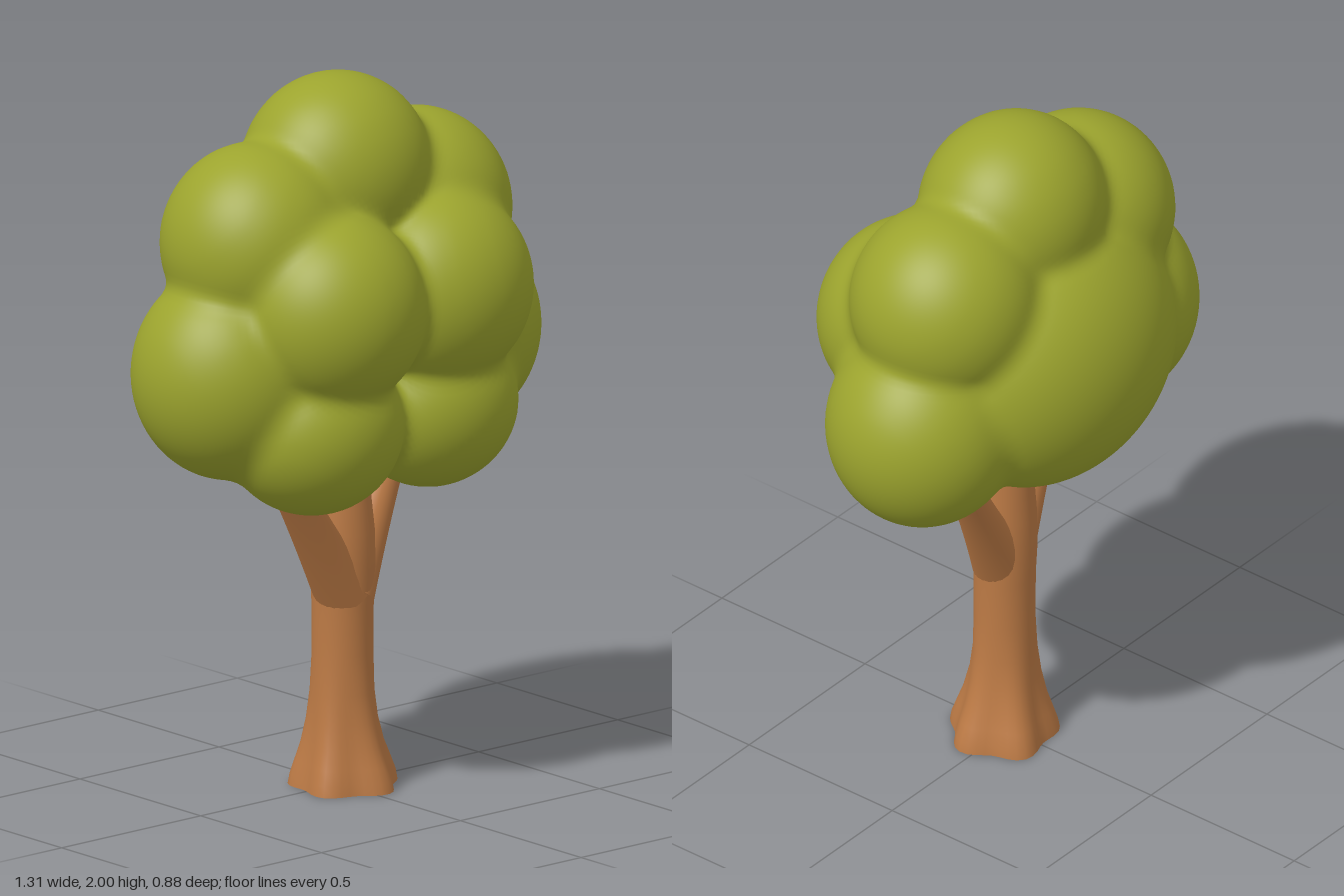
import * as THREE from 'three';
import { mergeVertices } from 'three/addons/utils/BufferGeometryUtils.js';

// Foliage puffs: centre x, y, z, then radii x, y, z
const PUFFS = [
  [0, 1.73, -0.015, 0.27, 0.27, 0.25],      // crown top
  [0, 1.32, -0.13, 0.42, 0.385, 0.31],      // large back puff
  [-0.21, 1.07, 0.13, 0.255, 0.24, 0.24],   // low front pair
  [0.21, 1.07, 0.13, 0.25, 0.235, 0.23],
  [-0.19, 1.405, 0.18, 0.265, 0.275, 0.26], // middle front pair
  [0.2, 1.405, 0.175, 0.27, 0.275, 0.25],
];
for (const s of [-1, 1]) {
  PUFFS.push([s * 0.285, 1.575, -0.015, 0.265, 0.275, 0.262]); // shoulders
  PUFFS.push([s * 0.38, 1.225, -0.015, 0.275, 0.295, 0.265]);  // wide sides
}

// Approximate distance to one ellipsoid
function puffDistance(p, [cx, cy, cz, rx, ry, rz]) {
  const x = p.x - cx, y = p.y - cy, z = p.z - cz;
  const k0 = Math.hypot(x / rx, y / ry, z / rz);
  const k1 = Math.hypot(x / rx ** 2, y / ry ** 2, z / rz ** 2);
  return k1 < 1e-6 ? -Math.min(rx, ry, rz) : (k0 * (k0 - 1)) / k1;
}

// Soft union, so neighbouring puffs meet in rounded creases
function foliageDistance(p) {
  const k = 0.035;
  let d = Infinity;
  for (const puff of PUFFS) {
    const e = puffDistance(p, puff);
    const h = Math.max(k - Math.abs(d - e), 0) / k;
    d = Math.min(d, e) - h * h * k * 0.25;
  }
  return d;
}

// Shrink-wrap a dense ball onto the puffs
function foliageGeometry() {
  let geo = new THREE.IcosahedronGeometry(1, 36);
  geo.deleteAttribute('normal');
  geo.deleteAttribute('uv');
  geo = mergeVertices(geo, 1e-5);
  const centre = new THREE.Vector3(0, 1.35, 0.01);
  const pos = geo.attributes.position;
  const dir = new THREE.Vector3(), p = new THREE.Vector3();
  for (let i = 0; i < pos.count; i++) {
    dir.fromBufferAttribute(pos, i).normalize();
    let r = 1.0;
    for (let step = 0; step < 60; step++) {
      const d = foliageDistance(p.copy(centre).addScaledVector(dir, r));
      if (Math.abs(d) < 5e-4) break;
      r -= d * 0.8;
    }
    pos.setXYZ(i, ...p.toArray());
  }
  geo.computeVertexNormals();
  return geo;
}

// Skin over rings [x, y, z, radius, lobe depth], all facing along dir
function loft(rings, dir, sides = 40) {
  const turn = new THREE.Quaternion().setFromUnitVectors(new THREE.Vector3(0, 1, 0), dir);
  const pos = [], index = [], v = new THREE.Vector3();
  rings.forEach(([x, y, z, r, lobe = 0], i) => {
    for (let j = 0; j < sides; j++) {
      const a = (j / sides) * Math.PI * 2;
      const rr = r * (1 + lobe * Math.cos(5 * (a - 0.17)));
      v.set(Math.cos(a) * rr, 0, Math.sin(a) * rr).applyQuaternion(turn);
      pos.push(v.x + x, v.y + y, v.z + z);
      if (i === rings.length - 1) continue;
      const n = (j + 1) % sides, q = i * sides;
      index.push(q + j, q + sides + j, q + sides + n, q + j, q + sides + n, q + n);
    }
  });
  const geo = new THREE.BufferGeometry();
  geo.setAttribute('position', new THREE.Float32BufferAttribute(pos, 3));
  geo.setIndex(index);
  geo.computeVertexNormals();
  return geo;
}

// Tapered limb with a rounded tip
function branchGeometry(from, to, r0, r1) {
  const a = new THREE.Vector3(...from), b = new THREE.Vector3(...to);
  const dir = b.clone().sub(a).normalize();
  const rings = [];
  for (let i = 0; i <= 8; i++) {
    const t = i / 8;
    const p = a.clone().lerp(b, t);
    rings.push([p.x, p.y, p.z, r1 + (r0 - r1) * (1 - t) ** 1.5]);
  }
  for (let i = 1; i <= 5; i++) {
    const t = (i / 5) * Math.PI / 2;
    const p = b.clone().addScaledVector(dir, Math.sin(t) * r1 * 0.5);
    rings.push([p.x, p.y, p.z, r1 * Math.cos(t)]);
  }
  return loft(rings, dir, 24);
}

export function createModel() {
  const leaf = new THREE.MeshStandardMaterial({ color: 0x9ca42e });
  leaf.name = 'leaf green';
  const bark = new THREE.MeshStandardMaterial({ color: 0xbc7a45 });
  bark.name = 'bark brown';

  const tree = new THREE.Group();
  tree.name = 'tree';
  const add = (name, geo, mat) => {
    const mesh = new THREE.Mesh(geo, mat);
    mesh.name = name;
    tree.add(mesh);
  };

  add('foliage', foliageGeometry(), leaf);

  // Trunk with a five-lobed root flare
  add('trunk', loft([
    [0.01, 0, 0.012, 0],
    [0.01, 0, 0.012, 0.143, 0.1],
    [0.01, 0, 0.012, 0.143, 0.1],
    [0.01, 0.03, 0.012, 0.138, 0.1],
    [0.008, 0.07, 0.012, 0.126, 0.09],
    [0.005, 0.12, 0.012, 0.111, 0.07],
    [0.002, 0.19, 0.012, 0.097, 0.045],
    [0, 0.27, 0.012, 0.088, 0.02],
    [0, 0.38, 0.012, 0.084, 0],
    [0, 0.52, 0.012, 0.085, 0],
    [0, 0.62, 0.012, 0.09, 0],
    [0, 0.72, 0.012, 0.088, 0],
    [0, 0.8, 0.01, 0.081, 0],
    [0, 0.92, 0.005, 0.075, 0],
    [0, 1.02, 0, 0.07, 0],
    [0, 1.05, 0, 0.05, 0],
    [0, 1.06, 0, 0, 0],
  ], new THREE.Vector3(0, 1, 0)), bark);

  // Forked limbs reaching into the foliage
  add('rightBranch', branchGeometry([-0.005, 0.545, 0.02], [-0.27, 0.94, 0.075], 0.08, 0.05), bark);
  add('leftBranch', branchGeometry([0.005, 0.545, 0.02], [0.255, 0.96, -0.05], 0.08, 0.046), bark);
  return tree;
}
